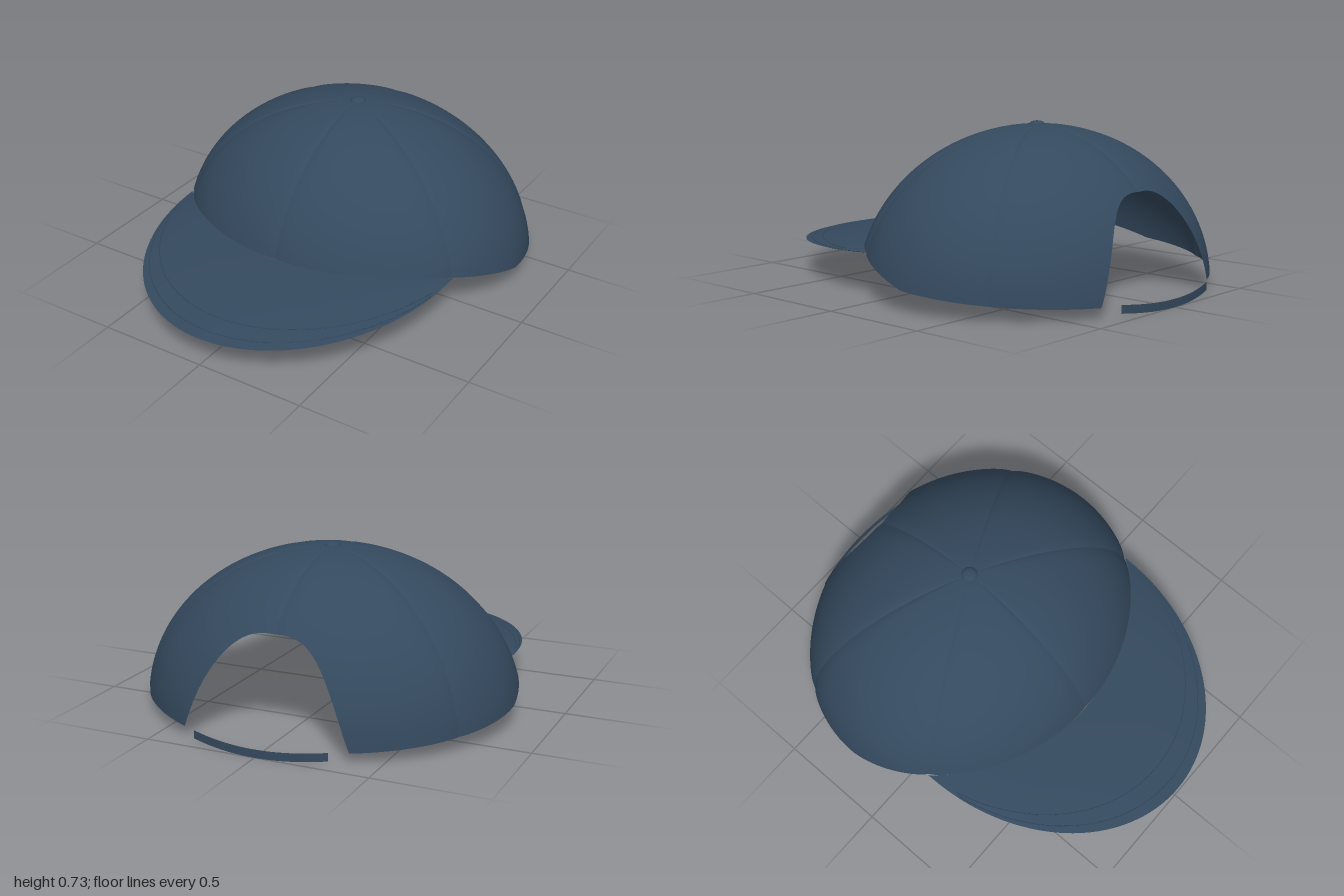
import * as THREE from 'three';

const CLOTH = new THREE.MeshStandardMaterial({ color: 0x34495e, side: THREE.DoubleSide });
const CZ = -0.25;            // z of the crown's axis
const RX = 0.85, RZ = 0.735, H = 0.715;
const rad = THREE.MathUtils.degToRad;

// Smooth surface from a rule f(u, v) -> Vector3
function surface(name, f, nu, nv) {
  const pos = [], index = [];
  for (let i = 0; i <= nu; i++) {
    for (let j = 0; j <= nv; j++) {
      pos.push(...f(i / nu, j / nv).toArray());
      if (i < nu && j < nv) {
        const a = i * (nv + 1) + j, b = a + nv + 1;
        index.push(a, a + 1, b, b, a + 1, b + 1);
      }
    }
  }
  const g = new THREE.BufferGeometry();
  g.setAttribute('position', new THREE.Float32BufferAttribute(pos, 3));
  g.setIndex(index);
  g.computeVertexNormals();
  const mesh = new THREE.Mesh(g, CLOTH);
  mesh.name = name;
  return mesh;
}

// Point on the crown at angle a (90 degrees = front) and height y
function crownPoint(a, y, pinch = 0) {
  const s = Math.sqrt(Math.max(0, 1 - (y / H) ** 2));
  const k = 1 - pinch * Math.min(1, s * 3);
  return new THREE.Vector3(RX * Math.cos(a) * s * k, y * k, CZ + RZ * Math.sin(a) * s * k);
}

// Lower edge of the crown, raised over the brim
function hemY(a) {
  const s = Math.sin(a);
  return s > 0 ? 0.095 + 0.13 * Math.sin(s * Math.PI / 2) : 0.095 + 0.055 * s;
}

// Lower edge including the arched opening at the back
function edgeY(a) {
  const hem = hemY(a);
  if (Math.sin(a) > -0.85) return hem;
  const arch = y => 0.045 + 0.42 * (1 - (Math.abs(crownPoint(a, y).x) / 0.374) ** 2.7);
  let lo = hem, hi = 0.6;
  if (lo >= arch(lo)) return hem;
  for (let i = 0; i < 30; i++) {
    const mid = (lo + hi) / 2;
    if (mid < arch(mid)) lo = mid; else hi = mid;
  }
  return lo;
}

// Top face of the brim: u runs from side to side, w from crown to rim
function brimPoint(u, w) {
  const a = rad(30 + 120 * u), b = Math.PI * u;
  const inner = crownPoint(a, hemY(a));
  const outer = new THREE.Vector3(0.71 * Math.cos(b), 0.19 - 0.055 * Math.sin(b), 0.12 + 0.88 * Math.sin(b));
  const p = inner.lerp(outer, w);
  p.y += 0.01 * Math.sin(Math.PI * w) * Math.sin(b);
  return p;
}

export function createModel() {
  const model = new THREE.Group();
  model.name = 'cap';

  // Six panels, slightly drawn in along the seams
  const crown = new THREE.Group();
  crown.name = 'crown';
  for (let i = 0; i < 6; i++) {
    crown.add(surface('crownPanel', (u, v) => {
      const a = rad(30 + 60 * (i + 1 - u));
      const e0 = Math.asin(edgeY(a) / H);
      const e = Math.PI / 2 - 0.002 - v * (Math.PI / 2 - 0.002 - e0);
      return crownPoint(a, H * Math.sin(e), 0.008 * (2 * u - 1) ** 12);
    }, 48, 40));
  }
  model.add(crown);

  // Top button
  const button = new THREE.Mesh(new THREE.SphereGeometry(1, 24, 12), CLOTH);
  button.name = 'topButton';
  button.scale.set(0.036, 0.018, 0.036);
  button.position.set(0, 0.712, CZ);
  model.add(button);

  // Brim: top and underside meeting in a thin rim
  const brim = new THREE.Group();
  brim.name = 'brim';
  brim.add(surface('brimTop', (u, v) => brimPoint(1 - u, v), 64, 20));
  brim.add(surface('brimUnderside', (u, v) => {
    const p = brimPoint(u, v);
    p.y -= 0.016 * Math.sin(Math.PI * u) ** 0.5 * Math.sqrt(1 - v ** 4);
    return p;
  }, 64, 20));

  // Two rows of stitching near the rim
  for (const w of [0.76, 0.91]) {
    const points = Array.from({ length: 33 }, (_, i) => brimPoint(0.06 + 0.88 * i / 32, w));
    const path = new THREE.CatmullRomCurve3(points);
    const stitch = new THREE.Mesh(new THREE.TubeGeometry(path, 80, 0.0025, 6), CLOTH);
    stitch.name = 'brimStitching';
    brim.add(stitch);
  }
  model.add(brim);

  // Curved strap behind the opening
  model.add(surface('backStrap', (u, v) => {
    const t = 1 - 2 * u;
    return new THREE.Vector3(0.305 * t, 0.018 * t * t + 0.036 * (1 - v), -1 + 0.047 * t * t);
  }, 32, 2));

  return model;
}
